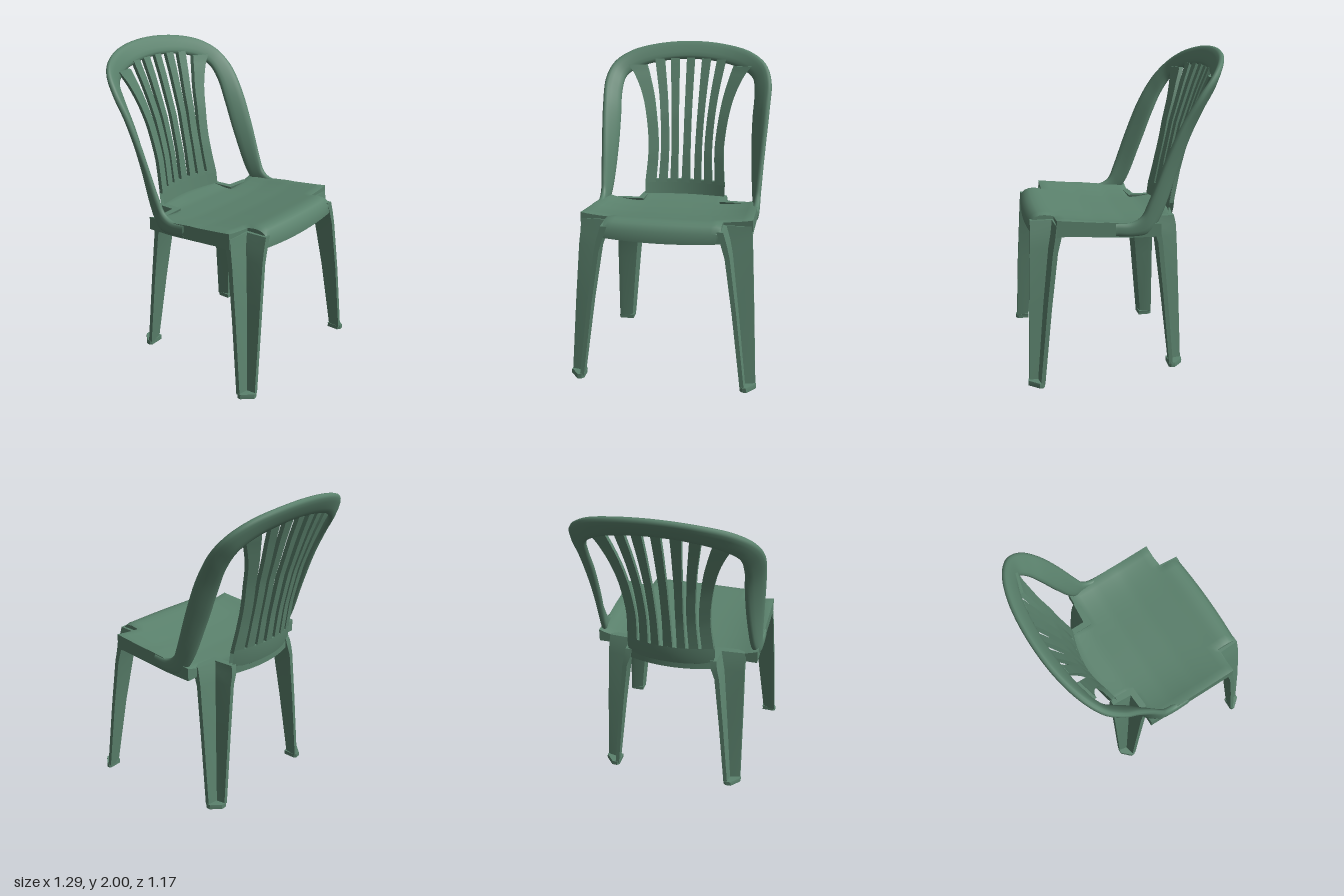
import * as THREE from 'three';
import { toCreasedNormals, mergeVertices } from 'three/addons/utils/BufferGeometryUtils.js';

const green = new THREE.MeshStandardMaterial({ color: 0x5b826d, side: THREE.DoubleSide });
green.name = 'green plastic';

// Linear interpolation through [key, value] pairs
function profile(table, k) {
  if (k <= table[0][0]) return table[0][1];
  for (let i = 1; i < table.length; i++) {
    const [a, va] = table[i - 1], [b, vb] = table[i];
    if (k <= b) return va + (vb - va) * (k - a) / (b - a);
  }
  return table[table.length - 1][1];
}

function finish(positions, index, crease) {
  const g = new THREE.BufferGeometry();
  g.setAttribute('position', new THREE.Float32BufferAttribute(positions, 3));
  g.setIndex(index);
  return toCreasedNormals(mergeVertices(g, 1e-5), crease);
}

// Closed skin over a list of equal rings of [x, y, z] points, with end caps
function loft(rings, crease = 0.6) {
  const n = rings[0].length, index = [];
  for (let i = 0; i < rings.length - 1; i++) {
    for (let j = 0; j < n; j++) {
      const a = i * n + j, b = i * n + (j + 1) % n;
      index.push(a, b, a + n, b, b + n, a + n);
    }
  }
  const positions = rings.flat(2);
  const flat = r => THREE.ShapeUtils.triangulateShape(r.map(p => new THREE.Vector2(p[0], p[2])), []);
  const last = (rings.length - 1) * n;
  for (const [a, b, c] of flat(rings[0])) index.push(a, c, b);
  for (const [a, b, c] of flat(rings[rings.length - 1])) index.push(last + a, last + b, last + c);
  return finish(positions, index, crease);
}

function add(parent, name, geometry, mirror = false) {
  const m = new THREE.Mesh(geometry, green);
  m.name = name;
  if (mirror) m.scale.z = -1;
  parent.add(m);
}

// Seat: dished sheet with four notched corners and a skirt round the edge
const seatHeight = [[-0.36, 0.965], [-0.2, 0.945], [0, 0.952], [0.2, 0.975], [0.4, 1.012], [0.5, 1.033], [0.56, 1.03], [0.6, 0.995]];
const skirtHeight = [[-0.36, 0.9], [0, 0.906], [0.4, 0.937], [0.6, 0.915]];

function seatGeometry() {
  const nx = 32, nz = 36, step = 0.03;
  const solid = (i, j) => {
    if (i < 0 || j < 0 || i >= nx || j >= nz) return false;
    const k = Math.abs(j + 0.5 - nz / 2);
    return !(i >= 27 && k > 12) && !(i < 6 && k > 10);
  };
  const isEdge = (i, j) => !(solid(i, j) && solid(i - 1, j) && solid(i, j - 1) && solid(i - 1, j - 1));
  const vertex = (i, j, low) => {
    const u = -0.36 + i * step, z = (j - nz / 2) * step * 0.53 / 0.54;
    const rear = Math.max(0, (-0.18 - u) / 0.18), front = Math.max(0, (u - 0.45) / 0.15);
    const x = u + 0.6 * z * z * rear + front * (0.008 - 0.12 * z * z);
    const rise = 0.05 * (z / 0.53) ** 4 * Math.min(1, Math.max(0.2, (0.75 - u) / 0.6));
    let y = profile(seatHeight, u) + rise - (isEdge(i, j) ? 0.01 : 0);
    if (low) y = profile(skirtHeight, u) + (u > 0.55 ? 0.1 * z * z : 0);
    return [x, y, z];
  };
  const positions = [], index = [];
  const quad = (a, b, c, d) => {
    const s = positions.length / 3;
    positions.push(...a, ...b, ...c, ...d);
    index.push(s, s + 1, s + 2, s, s + 2, s + 3);
  };
  for (let i = 0; i < nx; i++) {
    for (let j = 0; j < nz; j++) {
      if (!solid(i, j)) continue;
      const c = [[i, j], [i, j + 1], [i + 1, j + 1], [i + 1, j]];
      quad(...c.map(p => vertex(...p)));
      const neighbours = [[i - 1, j], [i, j + 1], [i + 1, j], [i, j - 1]];
      neighbours.forEach((nb, k) => {
        if (solid(...nb)) return;
        const p = c[k], q = c[(k + 1) % 4];
        quad(vertex(...q), vertex(...p), vertex(...p, true), vertex(...q, true));
      });
    }
  }
  return finish(positions, index, 0.8);
}

// Back panel surface: leans back and curves round the sitter
const lean = [[0.9, -0.35], [1.05, -0.365], [1.25, -0.395], [1.5, -0.45], [1.75, -0.53], [1.9, -0.585]];
const backX = (y, z) => profile(lean, y) + (0.7 - 0.35 * Math.min(1, Math.max(0, (y - 1) / 0.8))) * z * z;

// One slat, from [y, left edge, right edge] rows
function slatGeometry(rows) {
  const curve = new THREE.CatmullRomCurve3(rows.map(r => new THREE.Vector3(...r)));
  return loft(curve.getPoints(20).map(({ x: y, y: a, z: b }) => [
    [backX(y, a) + 0.013, y, a], [backX(y, b) + 0.013, y, b],
    [backX(y, b) - 0.015, y, b], [backX(y, a) - 0.015, y, a],
  ]));
}

function backBaseGeometry() {
  const rings = [];
  for (let i = 0; i <= 16; i++) {
    const z = -0.28 + 0.035 * i;
    rings.push([[1.06, 0.013], [0.92, 0.015], [0.94, -0.01], [1.0, -0.018], [1.06, -0.015]]
      .map(([y, d]) => [backX(y, z) + d, y, z]));
  }
  return loft(rings);
}

// Arched frame: a flattened oval section spanning an outer and an inner edge
const outerEdge = [[0.1, 1.0, 0.518], [0.0, 0.998, 0.52], [-0.06, 1.035, 0.525], [-0.1, 1.12, 0.535], [-0.2, 1.38, 0.555],
  [-0.3, 1.6, 0.57], [-0.4, 1.755, 0.573], [-0.49, 1.86, 0.53], [-0.565, 1.935, 0.42], [-0.62, 1.98, 0.24], [-0.64, 1.998, 0]];
const innerEdge = [[0.1, 0.92, 0.518], [0.0, 0.912, 0.52], [-0.1, 0.925, 0.515], [-0.17, 1.0, 0.495], [-0.28, 1.28, 0.468],
  [-0.36, 1.5, 0.462], [-0.43, 1.66, 0.465], [-0.49, 1.76, 0.445], [-0.53, 1.82, 0.36], [-0.56, 1.862, 0.21], [-0.575, 1.88, 0]];

function frameGeometry() {
  const whole = half => new THREE.CatmullRomCurve3([...half, ...half.slice(0, -1).reverse().map(([x, y, z]) => [x, y, -z])]
    .map(p => new THREE.Vector3(...p)));
  const outer = whole(outerEdge), inner = whole(innerEdge), rings = [];
  const steps = 120, sides = 14;
  for (let i = 0; i <= steps; i++) {
    const t = i / steps, o = outer.getPoint(t), e = inner.getPoint(t);
    const half = e.clone().sub(o).multiplyScalar(0.5), mid = o.clone().add(half);
    const normal = outer.getTangent(t).add(inner.getTangent(t)).cross(half).normalize();
    const ring = [];
    for (let k = 0; k < sides; k++) {
      const a = k / sides * Math.PI * 2, c = Math.cos(a), s = Math.sin(a);
      const p = mid.clone().addScaledVector(half, Math.sign(c) * Math.abs(c) ** 0.7)
        .addScaledVector(normal, 0.022 * Math.sign(s) * Math.abs(s) ** 0.7);
      ring.push(p.toArray());
    }
    rings.push(ring);
  }
  return loft(rings, 1);
}

// Leg: V-shaped channel with its groove facing the outer corner.
// Each row: y, side ridge [x, z], groove [x, z], end ridge [x, z], wall thickness
function legGeometry(rows, dir) {
  return loft(rows.map(([y, e, v, f, t]) => [
    e, v, f, [f[0], f[1] - t], [f[0] - dir * 0.03, f[1] - t], [v[0] - dir * t, v[1] - t],
    [e[0] - dir * t, e[1] - 0.03], [e[0] - dir * t, e[1]],
  ].map(([x, z]) => [x, y, z])), 0.5);
}
const footGeometry = outline => loft([0, 0.018, 0.03].map((y, i) => outline.map(([x, z]) => [x, y, z + (i === 2 ? -0.003 : 0)])));

const frontLeg = [
  [0.02, [0.572, 0.58], [0.585, 0.52], [0.638, 0.515], 0.025],
  [0.5, [0.52, 0.556], [0.535, 0.463], [0.62, 0.457], 0.027],
  [0.84, [0.478, 0.537], [0.492, 0.418], [0.602, 0.41], 0.03],
  [0.92, [0.463, 0.53], [0.475, 0.4], [0.598, 0.392], 0.036],
  [1.0, [0.452, 0.525], [0.462, 0.375], [0.594, 0.368], 0.04],
];
const rearLeg = [
  [0.02, [-0.287, 0.475], [-0.3, 0.41], [-0.356, 0.4], 0.025],
  [0.5, [-0.245, 0.466], [-0.255, 0.365], [-0.346, 0.355], 0.027],
  [0.84, [-0.212, 0.457], [-0.222, 0.33], [-0.338, 0.32], 0.03],
  [0.91, [-0.2, 0.455], [-0.21, 0.315], [-0.336, 0.305], 0.04],
  [0.965, [-0.186, 0.45], [-0.195, 0.302], [-0.325, 0.297], 0.04],
];
const frontFoot = [[0.553, 0.49], [0.55, 0.57], [0.56, 0.585], [0.58, 0.585], [0.645, 0.53], [0.643, 0.505], [0.628, 0.49]];
const rearFoot = [[-0.265, 0.375], [-0.262, 0.47], [-0.275, 0.48], [-0.3, 0.48], [-0.358, 0.425], [-0.36, 0.39], [-0.345, 0.375]];

export function createModel() {
  const chair = new THREE.Group();
  chair.name = 'chair';
  add(chair, 'seat', seatGeometry());
  add(chair, 'backFrame', frameGeometry());
  add(chair, 'backBase', backBaseGeometry());

  // Slats fan out towards the top
  add(chair, 'centreSlat', slatGeometry([[1.04, -0.03, 0.03], [1.3, -0.025, 0.025], [1.6, -0.025, 0.025], [1.9, -0.028, 0.028]]));
  const slats = [
    [[1.04, 0.058, 0.11], [1.3, 0.06, 0.107], [1.6, 0.07, 0.12], [1.895, 0.08, 0.143]],
    [[1.04, 0.132, 0.19], [1.3, 0.127, 0.18], [1.6, 0.148, 0.202], [1.88, 0.186, 0.25]],
    [[1.04, 0.21, 0.28], [1.3, 0.2, 0.265], [1.6, 0.237, 0.31], [1.77, 0.282, 0.38], [1.84, 0.305, 0.43]],
  ];
  for (const mirror of [false, true]) {
    const side = mirror ? 'right' : 'left';
    slats.forEach((rows, i) => add(chair, `${side}Slat${i + 1}`, slatGeometry(rows), mirror));
    add(chair, `${side}FrontLeg`, legGeometry(frontLeg, 1), mirror);
    add(chair, `${side}FrontFoot`, footGeometry(frontFoot), mirror);
    add(chair, `${side}RearLeg`, legGeometry(rearLeg, -1), mirror);
    add(chair, `${side}RearFoot`, footGeometry(rearFoot), mirror);
  }
  return chair;
}
